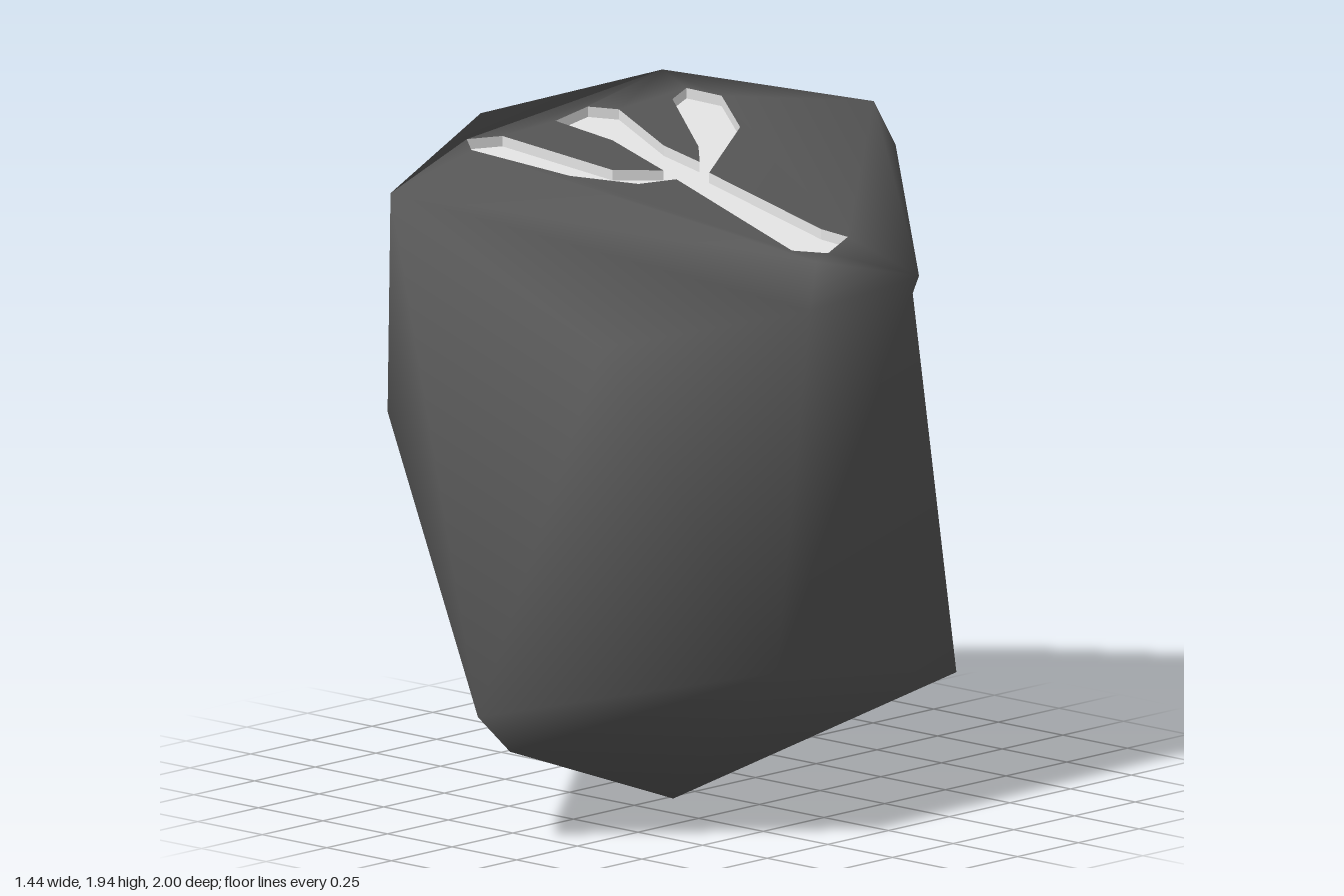
import * as THREE from 'three';

// Corner points of the boulder
const corners = {
  base: [0.02, 0, 0.11], lowLeft: [0.72, 0.52, 0.43], lowFront: [0.1, 0.39, 1], keel: [-0.02, 0.23, 0.74],
  lowRight: [-0.69, 0.62, 0.21], lowBackRight: [-0.47, 0.31, -0.66], lowBackLeft: [0.43, 0.31, -0.62],
  back: [-0.26, 0.91, -1], backRight: [-0.59, 0.82, -0.7], frontRight: [-0.56, 1.12, 0.67],
  rimFront: [-0.37, 1.81, 0.86], frontLeft: [0.43, 1.48, 0.84], rimBackLeft: [0.68, 1.56, -0.2],
  shoulder: [0.68, 1.53, 0.25], rimLeft: [0.64, 1.655, 0.18], rimBack: [-0.05, 1.86, -0.79],
  upperBack: [-0.05, 1.72, -0.88], rimBackRight: [-0.52, 1.94, -0.42], upperRight: [-0.72, 1.84, -0.33],
  rimRight: [-0.5, 1.94, 0.35],
};

// Side faces, as fans: a hub corner, then the corners around it
const fans = [
  ['rimBackRight', 'rimRight', 'upperRight', 'backRight', 'back', 'upperBack', 'rimBack'],
  ['upperBack', 'rimBack', 'rimBackLeft', 'lowLeft', 'lowBackLeft', 'back'],
  ['shoulder', 'lowLeft', 'rimBackLeft', 'rimLeft', 'rimFront', 'frontLeft', 'lowLeft'],
  ['lowFront', 'lowLeft', 'frontLeft', 'rimFront', 'frontRight', 'keel', 'lowLeft'],
  ['lowRight', 'keel', 'frontRight', 'rimRight', 'upperRight', 'backRight', 'lowBackRight', 'base', 'keel'],
  ['base', 'lowBackRight', 'lowBackLeft', 'lowLeft', 'keel'],
  ['lowBackRight', 'backRight', 'back', 'lowBackLeft'],
  ['rimRight', 'rimFront', 'frontRight'],
];

const rim = ['rimRight', 'rimBackRight', 'rimBack', 'rimBackLeft', 'rimLeft', 'rimFront'];

// Outline of the four-armed carving, as x, z
const carving = [
  [0.065, 0.01], [0.48, -0.01], [0.55, -0.045], [0.61, 0.1], [0.555, 0.19], [0.06, 0.14],
  [0.04, 0.275], [-0.08, 0.43], [-0.325, 0.575], [-0.385, 0.53], [-0.36, 0.41], [-0.06, 0.275], [0, 0.13],
  [-0.21, 0.115], [-0.375, 0.175], [-0.41, 0.005], [-0.36, -0.07], [-0.125, -0.005], [0, -0.02],
  [-0.08, -0.1], [-0.35, -0.28], [-0.39, -0.38], [-0.31, -0.44], [-0.13, -0.325],
];
const topHeight = (x) => 1.94 - 0.25 * (x + 0.5);
const depth = 0.03;

// Geometry from points and triangles, each turned to face away from the inner point
function solid(points, faces, inner) {
  const v = points.map((p) => new THREE.Vector3(...p));
  const index = faces.flatMap(([a, b, c]) => {
    const n = v[b].clone().sub(v[a]).cross(v[c].clone().sub(v[a]));
    return n.dot(v[a].clone().sub(inner)) < 0 ? [a, c, b] : [a, b, c];
  });
  const geometry = new THREE.BufferGeometry().setFromPoints(v);
  geometry.setIndex(index);
  geometry.computeVertexNormals();
  return geometry;
}

export function createModel() {
  const group = new THREE.Group();
  group.name = 'carvedBoulder';
  const stone = new THREE.MeshStandardMaterial({ color: 0x565656 });
  stone.name = 'dark stone';
  const pale = new THREE.MeshStandardMaterial({ color: 0xe7e7e7, side: THREE.DoubleSide });
  pale.name = 'pale carving';

  const flat = carving.map(([x, z]) => new THREE.Vector2(x, z));
  const lip = carving.map(([x, z]) => [x, topHeight(x), z]);
  const floor = lip.map(([x, y, z]) => [x, y - depth, z]);

  // Boulder: side faces plus a top with the carving cut out
  const names = Object.keys(corners);
  const id = (name) => names.indexOf(name);
  const sideFaces = fans.flatMap(([hub, ...around]) =>
    around.slice(1).map((name, i) => [id(hub), id(around[i]), id(name)]));
  const rimFlat = rim.map((name) => new THREE.Vector2(corners[name][0], corners[name][2]));
  const topFaces = THREE.ShapeUtils.triangulateShape(rimFlat, [flat]).map((face) =>
    face.map((i) => (i < rim.length ? id(rim[i]) : names.length + i - rim.length)));
  const boulder = new THREE.Mesh(solid(
    [...Object.values(corners), ...lip],
    [...sideFaces, ...topFaces],
    new THREE.Vector3(0, 1, 0),
  ), stone);
  boulder.name = 'boulder';

  // Carving: sunken floor and the walls around it
  const floorFaces = THREE.ShapeUtils.triangulateShape(flat, []);
  const carvingFloor = new THREE.Mesh(solid(floor, floorFaces, new THREE.Vector3()), pale);
  carvingFloor.name = 'carvingFloor';

  const n = carving.length;
  const wallIndex = carving.flatMap((_, i) => {
    const j = (i + 1) % n;
    return [i, j, i + n, j, j + n, i + n];
  });
  const ring = new THREE.BufferGeometry().setFromPoints([...lip, ...floor].map((p) => new THREE.Vector3(...p)));
  ring.setIndex(wallIndex);
  const walls = ring.toNonIndexed();
  walls.computeVertexNormals();
  const carvingWalls = new THREE.Mesh(walls, pale);
  carvingWalls.name = 'carvingWalls';

  group.add(boulder, carvingFloor, carvingWalls);
  return group;
}
